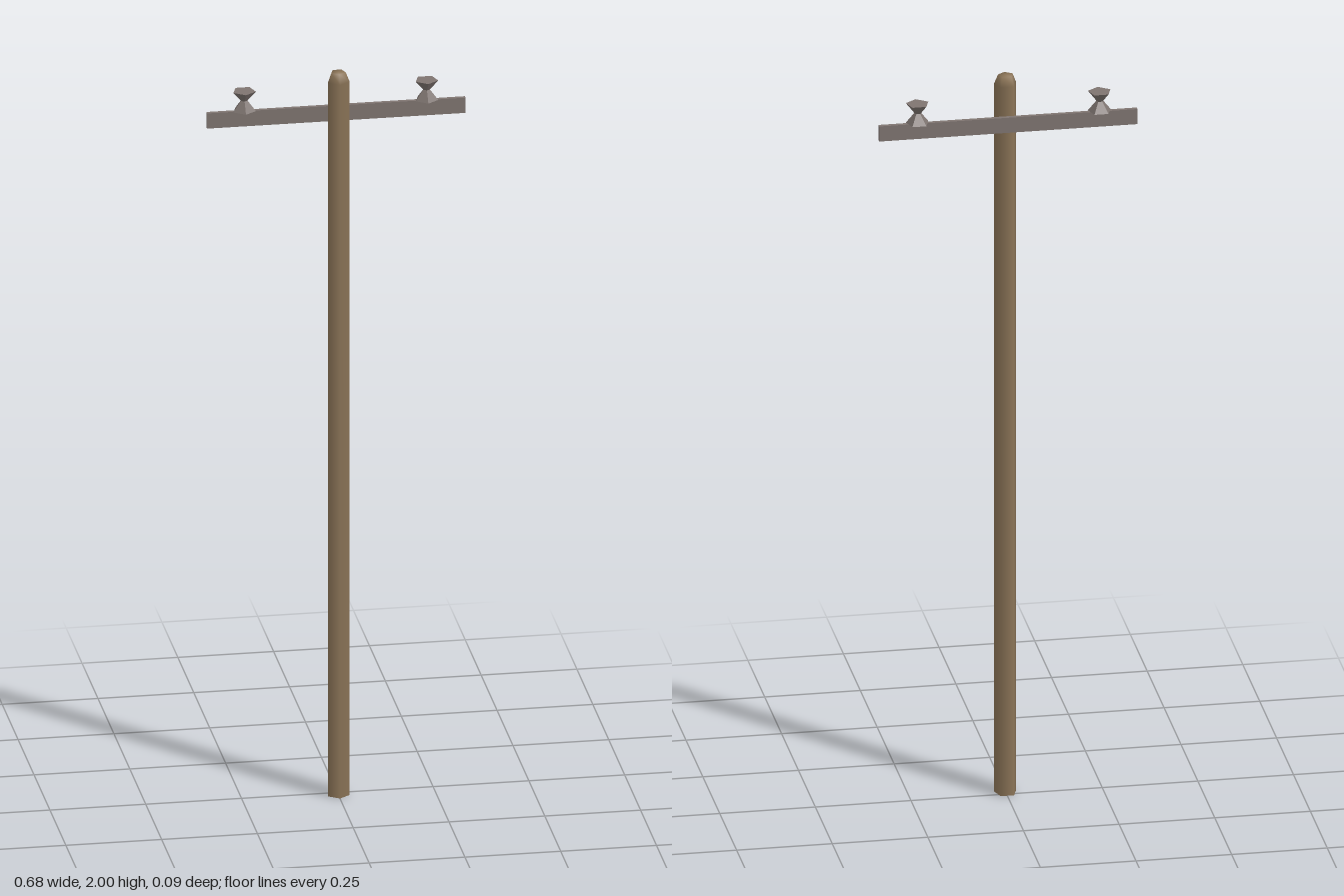
import * as THREE from 'three';

export function createModel() {
  const group = new THREE.Group();
  const wood = new THREE.MeshStandardMaterial({ color: 0x8c7558 });
  wood.name = 'brown wood';
  const grey = new THREE.MeshStandardMaterial({ color: 0x7f7571, flatShading: true });
  grey.name = 'weathered grey';

  const add = (name, geometry, material, x, y, z) => {
    const mesh = new THREE.Mesh(geometry, material);
    mesh.name = name;
    mesh.position.set(x, y, z);
    group.add(mesh);
  };
  // Five-sided turned shape from [radius, height] pairs, one corner facing +z
  const turned = (profile) =>
    new THREE.LatheGeometry(profile.map(([r, y]) => new THREE.Vector2(r, y)), 5);

  // Smooth-shaded pole with a tapered tip and a flat foot
  const poleZ = 0.013;
  add('pole', turned([[0.03, 0], [0.03, 1.975], [0.02, 2], [0, 2]]), wood, 0, 0, poleZ);
  const foot = new THREE.CircleGeometry(0.03, 5, Math.PI / 2).rotateX(Math.PI / 2);
  add('poleFoot', foot, wood, 0, 0, poleZ);

  // Thin crossarm behind the pole
  const armZ = -0.0205;
  add('crossarm', new THREE.BoxGeometry(0.675, 0.042, 0.011), grey, 0, 1.875, armZ);

  // Hourglass insulators on top of the arm
  const hourglass = turned([[0, 0], [0.031, 0], [0.009, 0.028], [0.031, 0.054], [0, 0.054]]);
  add('leftInsulator', hourglass, grey, 0.236, 1.896, armZ);
  add('rightInsulator', hourglass, grey, -0.24, 1.896, armZ);

  return group;
}
